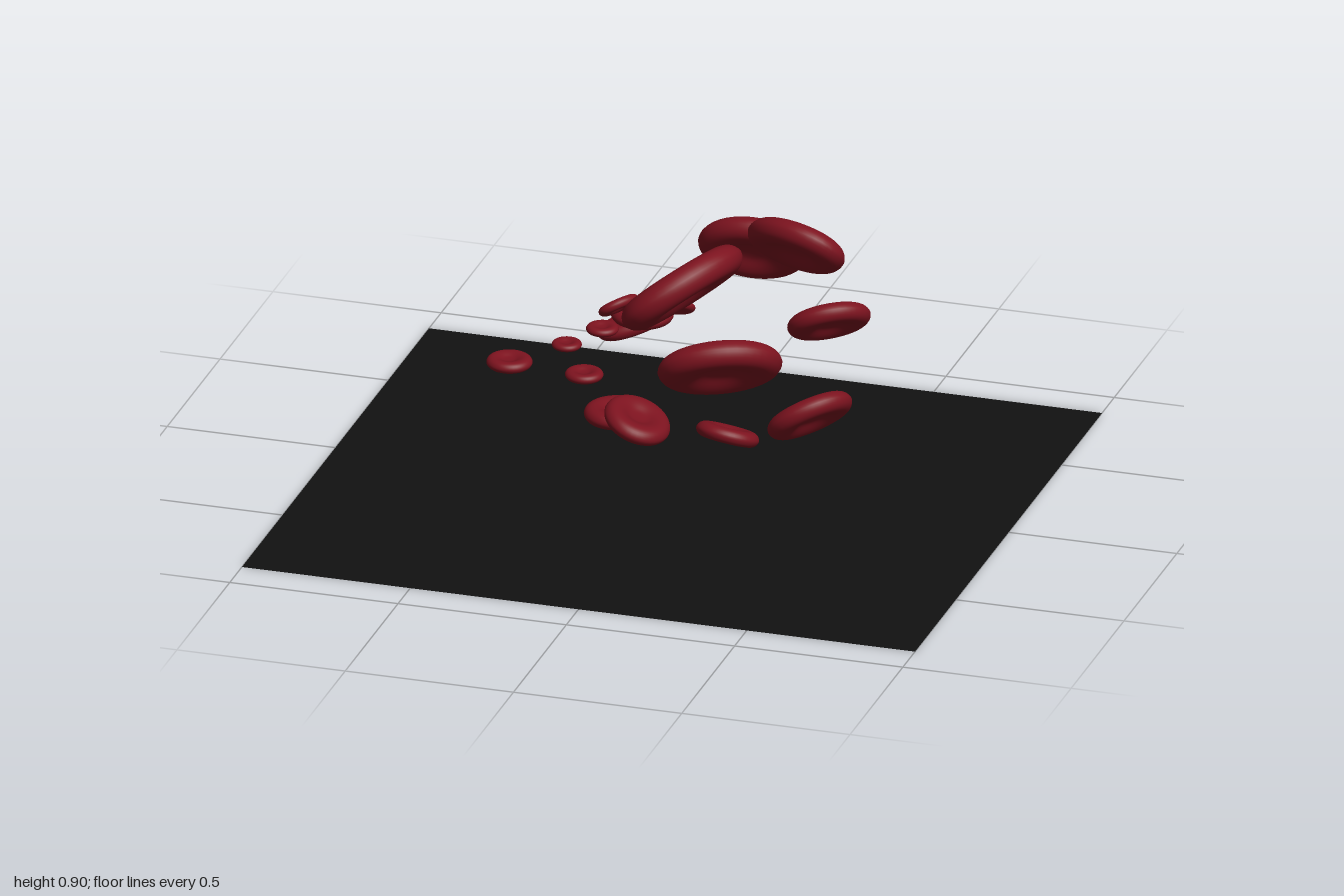
import * as THREE from 'three';

// Biconcave disc of radius 1 and half thickness 1, lathed around y
function discGeometry() {
  const upper = [[1, 0], [0.94, 0.58], [0.82, 0.92], [0.66, 1], [0.48, 0.84], [0.28, 0.52], [0.12, 0.42], [0, 0.4]];
  const lower = upper.slice(1).reverse().map(([r, y]) => [r, -y]);
  const curve = new THREE.SplineCurve([...lower, ...upper].map(([r, y]) => new THREE.Vector2(r, y)));
  const points = curve.getPoints(42).map((p) => new THREE.Vector2(Math.max(p.x, 0), p.y));
  points[0].x = points[points.length - 1].x = 0;
  return new THREE.LatheGeometry(points, 40);
}

// Each cell: centre x, y, z; half width in x and z; skew of its plan ellipse; slope along x and z
const CELLS = [
  // large cells
  [0.366, 0.80, -0.01, 0.154, 0.106, 0.45, -0.32, 1.0],
  [0.03, 0.63, 0.0, 0.142, 0.181, -0.45, 0.87, 0.31],
  [0.136, 0.628, -0.335, 0.16, 0.068, -0.1, 0.1, 1.6],
  [0.243, 0.545, 0.32, 0.167, 0.122, -0.4, 0.43, 0.87],
  [0.366, 0.437, -0.32, 0.111, 0.093, -0.35, 0.5, 0.735],
  [0.452, 0.346, 0.135, 0.108, 0.106, -0.38, 0.73, 0.58],
  // middle cells
  [0.217, 0.27, 0.165, 0.09, 0.08, 0, -0.15, 0.4],
  [-0.227, 0.334, -0.38, 0.099, 0.086, -0.4, 0.33, -0.04],
  [-0.013, 0.334, 0.288, 0.092, 0.112, 0.05, -0.4, 0],
  [-0.165, 0.422, -0.245, 0.09, 0.086, 0, 0, 0],
  [-0.163, 0.22, 0.006, 0.093, 0.093, 0, 0, 0],
  // small cells
  [-0.19, 0.505, -0.1, 0.049, 0.058, -0.4, 0.68, 0.4],
  [-0.05, 0.488, -0.178, 0.061, 0.034, -0.2, 0.12, 0.9],
  [-0.27, 0.38, -0.202, 0.047, 0.046, 0, 0, 0],
  [-0.483, 0.334, 0.0, 0.066, 0.064, 0, 0, 0],
  [-0.366, 0.332, -0.17, 0.043, 0.042, 0, 0, 0],
  [-0.195, 0.42, 0.21, 0.055, 0.053, 0, 0, 0],
];

// Lays the disc into its tilted ellipse
function cellMatrix([x, y, z, hx, hz, skew, sx, sz]) {
  const lift = (px, pz) => new THREE.Vector3(px, sx * px + sz * pz, pz);
  const u = lift(hx, skew * hz);
  const v = lift(0, hz * Math.sqrt(1 - skew * skew));
  const n = new THREE.Vector3().crossVectors(v, u);
  n.setLength(0.25 * Math.sqrt(n.length()));
  return new THREE.Matrix4().makeBasis(u, n, v).setPosition(x, y, z);
}

export function createModel() {
  const model = new THREE.Group();
  model.name = 'bloodCells';

  // Flat ground sheet
  const sheet = new THREE.Mesh(
    new THREE.PlaneGeometry(2, 1.77).rotateX(-Math.PI / 2),
    new THREE.MeshStandardMaterial({ color: 0x111111, side: THREE.DoubleSide }),
  );
  sheet.name = 'groundSheet';
  model.add(sheet);

  // Floating cells
  const red = new THREE.MeshStandardMaterial({ color: 0x7d131f });
  const disc = discGeometry();
  CELLS.forEach((cell, i) => {
    const mesh = new THREE.Mesh(disc.clone().applyMatrix4(cellMatrix(cell)), red);
    mesh.name = `cell${i + 1}`;
    model.add(mesh);
  });

  return model;
}
